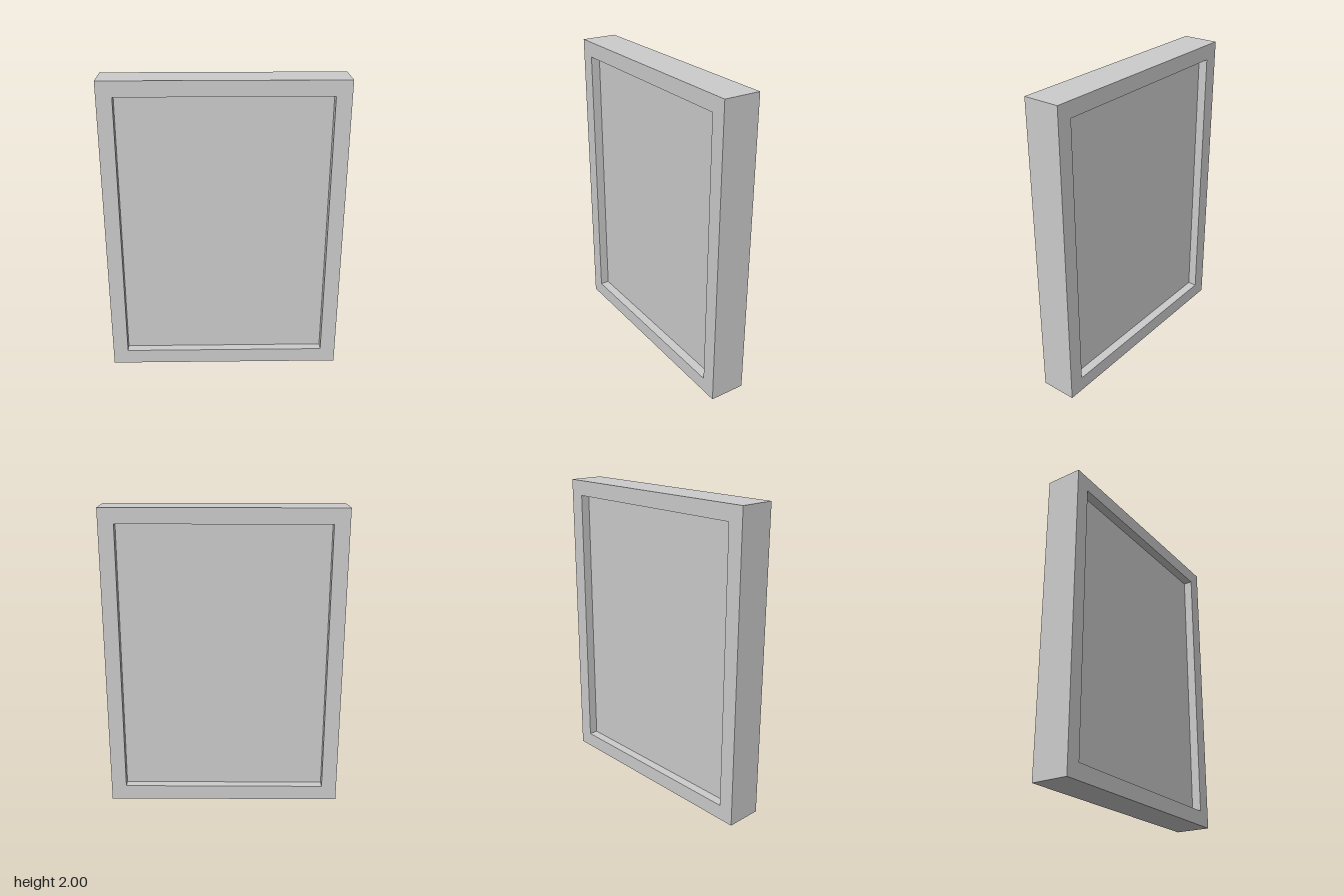
import * as THREE from 'three';

const W = 1.55, H = 2, D = 0.238; // outer size
const BORDER = 0.1, RECESS = 0.06;

// Counter-clockwise rectangle centred on x = 0, y = H / 2
function rectangle(Type, w, h) {
  const x = w / 2, y0 = (H - h) / 2, y1 = (H + h) / 2;
  return new Type([[-x, y0], [x, y0], [x, y1], [-x, y1]].map(([a, b]) => new THREE.Vector2(a, b)));
}

export function createModel() {
  const group = new THREE.Group();
  group.name = 'framedPanel';
  const material = new THREE.MeshStandardMaterial({ color: 0xcccccc });
  const innerW = W - 2 * BORDER, innerH = H - 2 * BORDER;

  // Square-edged border with a rectangular opening
  const outline = rectangle(THREE.Shape, W, H);
  outline.holes.push(rectangle(THREE.Path, innerW, innerH));
  const frameGeometry = new THREE.ExtrudeGeometry(outline, { depth: D, bevelEnabled: false });
  frameGeometry.translate(0, 0, -D / 2);
  const frame = new THREE.Mesh(frameGeometry, material);
  frame.name = 'frame';

  // Panel set back from the frame on both faces
  const panel = new THREE.Mesh(new THREE.BoxGeometry(innerW, innerH, D - 2 * RECESS), material);
  panel.name = 'panel';
  panel.position.y = H / 2;

  group.add(frame, panel);
  return group;
}
